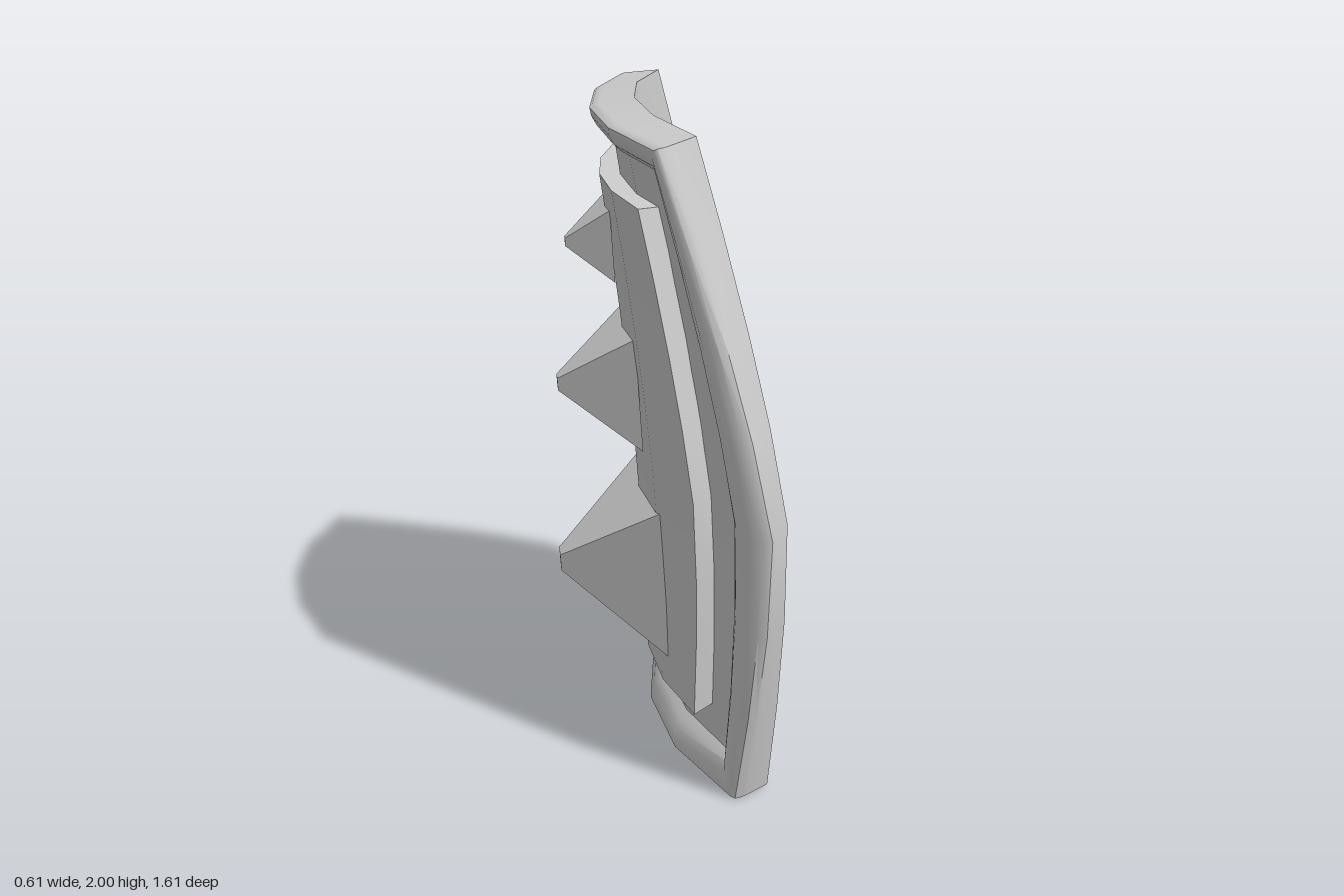
import * as THREE from 'three';
import { toCreasedNormals } from 'three/addons/utils/BufferGeometryUtils.js';

const W = [-1, -0.5, 0, 0.5, 1];
const T = [0, 0.15, 0.3, 0.46, 0.6, 0.73, 0.87, 1];
const LENGTH = 1.98;
const LEAN = 0.037;
const material = new THREE.MeshStandardMaterial({ color: 0xcccccc });

// half width of the plate at height t: narrow ends, widest at t = 0.46
function halfWidth(t) {
  const s = t < 0.46 ? (0.46 - t) / 0.46 : (t - 0.46) / 0.54;
  return 0.7 - (t < 0.46 ? 0.11 : 0.19) * Math.pow(Math.max(s, 0), 1.25);
}

// point on the curved shell (y centred on 0), moved in from the outline by inset and out along the normal by depth;
// a negative inset flares the sides only, most at mid height
function shellPoint(w, t, inset, depth) {
  const flare = inset < 0 ? 0.3 + 2.8 * t * (1 - t) : 1;
  w *= 1 - inset * flare / 0.66;
  const endInset = Math.max(inset, 0) / LENGTH;
  t = endInset + (1 - 2 * endInset) * t;
  const z = w * halfWidth(t);
  const bow = w * w * (0.02 - 0.03 * t);
  const y = LENGTH * (t - 0.5) + bow;
  const x = 0.0654 - 0.0949 * y - 0.0403 * y * y + 0.46 * z * z;
  const normal = new THREE.Vector3(-1, -0.0949 - 0.0806 * y, 0.92 * z).normalize();
  return new THREE.Vector3(x, y, z).addScaledVector(normal, depth);
}

// closed path round the outline as [w, t]
const outline = [
  ...W.slice(0, -1).map(w => [w, 0]),
  ...T.slice(0, -1).map(t => [1, t]),
  ...W.slice(1).reverse().map(w => [w, 1]),
  ...T.slice(1).reverse().map(t => [-1, t]),
];

function meshFrom(name, positions, crease) {
  const geometry = new THREE.BufferGeometry();
  geometry.setAttribute('position', new THREE.Float32BufferAttribute(positions, 3));
  const mesh = new THREE.Mesh(toCreasedNormals(geometry, crease), material);
  mesh.name = name;
  return mesh;
}

function quad(out, a, b, c, d) {
  for (const p of [a, b, c, a, c, d]) out.push(p.x, p.y, p.z);
}

// full curved face, facing +x or, when flipped, -x
function face(name, inset, depth, flip) {
  const out = [];
  for (let i = 0; i < W.length - 1; i++) {
    for (let j = 0; j < T.length - 1; j++) {
      const [a, b, c, d] = [[i, j], [i, j + 1], [i + 1, j + 1], [i + 1, j]]
        .map(([m, n]) => shellPoint(W[m], T[n], inset, depth));
      flip ? quad(out, a, d, c, b) : quad(out, a, b, c, d);
    }
  }
  return meshFrom(name, out, 0.5);
}

// strip swept round the outline through [inset, depth] sections
function border(name, sections) {
  const out = [];
  const loops = sections.map(([inset, depth]) => outline.map(([w, t]) => shellPoint(w, t, inset, depth)));
  for (let k = 0; k < loops.length - 1; k++) {
    for (let j = 0; j < outline.length; j++) {
      const n = (j + 1) % outline.length;
      quad(out, loops[k][j], loops[k][n], loops[k + 1][n], loops[k + 1][j]);
    }
  }
  return meshFrom(name, out, 0.75);
}

// blunt four-sided spike pointing to -x, tipped slightly down
function spike(y, tipX, baseX, halfY, halfZ) {
  const h = baseX - tipX;
  const geometry = new THREE.CylinderGeometry(0.11 * Math.SQRT2, Math.SQRT2, h, 4, 1).toNonIndexed();
  geometry.rotateY(Math.PI / 4);
  geometry.scale(halfY, 1, halfZ);
  geometry.rotateZ(Math.PI / 2 + 0.07);
  geometry.translate((tipX + baseX) / 2, y, -LEAN * y);
  geometry.computeVertexNormals();
  const mesh = new THREE.Mesh(geometry, material);
  mesh.name = 'spike';
  return mesh;
}

export function createModel() {
  const plate = new THREE.Group();
  plate.name = 'armourPlate';

  // shell: smooth hollow side, rounded raised rim, recessed outer side
  plate.add(face('innerFace', 0, 0, false));
  plate.add(border('rim', [[0, 0], [-0.038, 0.085], [-0.042, 0.106], [-0.028, 0.126], [0.005, 0.134],
    [0.03, 0.133], [0.06, 0.122], [0.085, 0.102], [0.105, 0.078]]));
  plate.add(face('recess', 0.105, 0.078, true));

  // raised panel in the recess
  plate.add(border('panelEdge', [[0.215, 0.07], [0.202, 0.139]]));
  plate.add(face('panel', 0.202, 0.139, true));

  // row of spikes, growing towards the bottom
  plate.add(spike(-0.457, -0.305, 0.0, 0.243, 0.28));
  plate.add(spike(0.125, -0.305, -0.07, 0.178, 0.195));
  plate.add(spike(0.562, -0.275, -0.14, 0.11, 0.113));

  // the plate leans slightly sideways
  plate.rotation.x = LEAN;
  plate.position.y = 1;

  const group = new THREE.Group();
  group.name = 'shoulderArmour';
  group.add(plate);
  return group;
}
